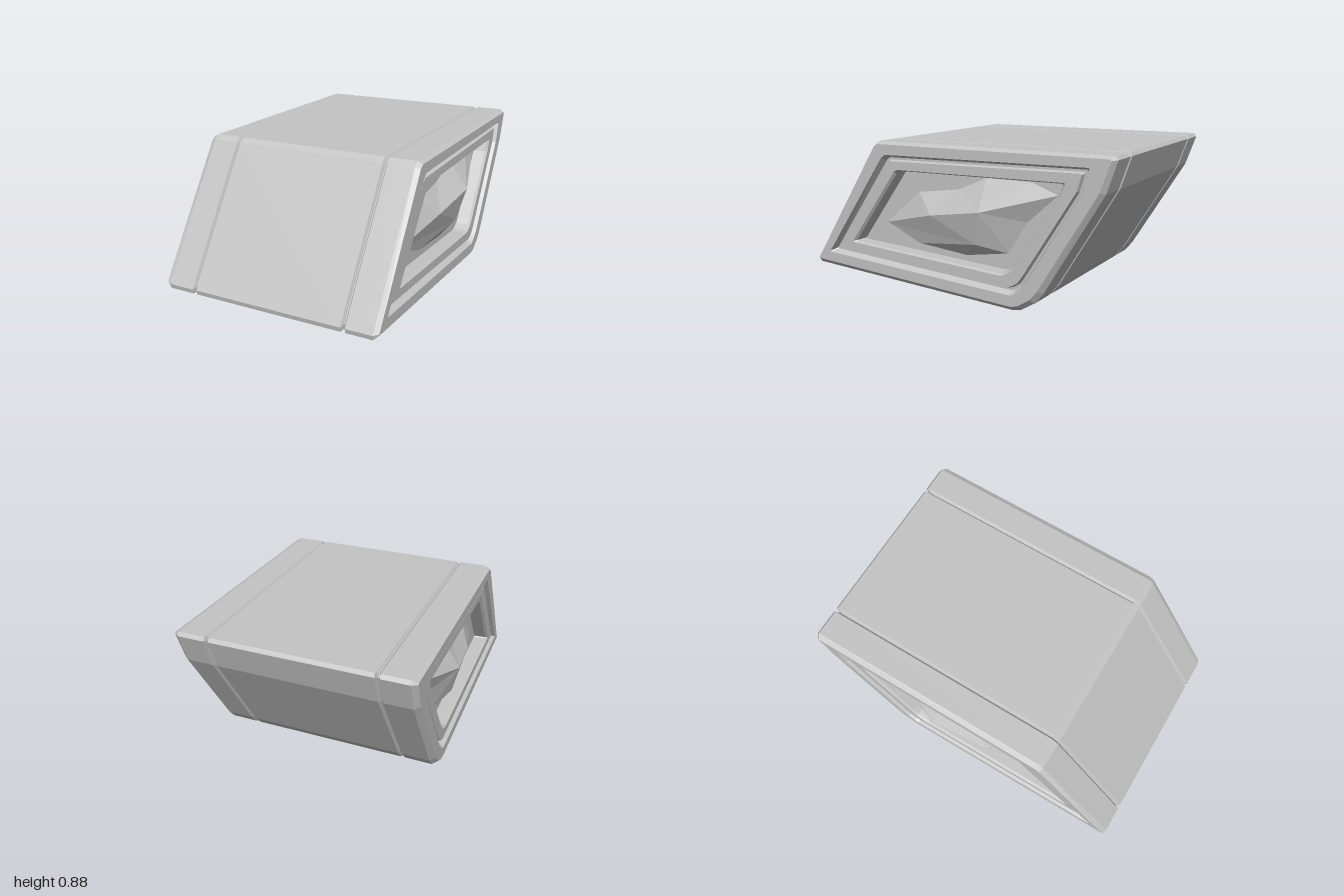
import * as THREE from 'three';

// Cross-sections as [z, y], running front tip -> underside -> back -> top
const OUTER = [[1, 0.103], [0.995, 0.077], [-0.41, 0.003], [-0.465, 0.013], [-0.55, 0.065], [-0.6, 0.125],
  [-0.94, 0.69], [-1, 0.865], [-0.985, 0.885], [0.485, 0.876], [0.518, 0.852]];
const RIM = [[0.988, 0.112], [0.984, 0.106], [-0.41, 0.03], [-0.455, 0.039], [-0.53, 0.087], [-0.575, 0.14],
  [-0.918, 0.7], [-0.976, 0.862], [-0.97, 0.87], [0.482, 0.86], [0.51, 0.84]];
const RECESS = [[0.89, 0.166], [0.885, 0.16], [-0.405, 0.093], [-0.43, 0.1], [-0.475, 0.135], [-0.505, 0.17],
  [-0.825, 0.69], [-0.862, 0.815], [-0.855, 0.821], [0.43, 0.8], [0.455, 0.78]];
const RIDGE = [[0.825, 0.205], [0.82, 0.199], [-0.385, 0.133], [-0.41, 0.14], [-0.45, 0.165], [-0.475, 0.2],
  [-0.787, 0.69], [-0.815, 0.78], [-0.808, 0.786], [0.41, 0.763], [0.432, 0.745]];
const WINDOW = [[0.712, 0.248], [0.705, 0.242], [-0.33, 0.19], [-0.36, 0.194], [-0.41, 0.222], [-0.435, 0.25],
  [-0.7, 0.66], [-0.725, 0.727], [-0.718, 0.732], [0.355, 0.716], [0.378, 0.7]];

const mix = (a, b, t) => a.map((p, i) => [p[0] + (b[i][0] - p[0]) * t, p[1] + (b[i][1] - p[1]) * t]);
// Shrink a section toward its middle by roughly d
const shrink = (ring, d) => mix(ring, ring.map(() => [-0.03, 0.45]), d / 0.45);

// Flat-faced mesh from [x, y, z] points and triangles; side = -1 mirrors it in x
function facets(name, points, tris, material, side = 1) {
  const pos = [];
  for (const [a, b, c] of tris) {
    for (const k of side > 0 ? [a, b, c] : [a, c, b]) pos.push(points[k][0] * side, points[k][1], points[k][2]);
  }
  const geo = new THREE.BufferGeometry();
  geo.setAttribute('position', new THREE.Float32BufferAttribute(pos, 3));
  geo.computeVertexNormals();
  const mesh = new THREE.Mesh(geo, material);
  mesh.name = name;
  return mesh;
}

// Skin over successive sections [x, ring], optionally closed at the last one
function loft(name, stations, material, side = 1, closed = false) {
  const n = OUTER.length, points = [], tris = [];
  for (const [x, ring] of stations) for (const [z, y] of ring) points.push([x, y, z]);
  for (let s = 0; s < stations.length - 1; s++) {
    for (let i = 0; i < n; i++) {
      const a = s * n + i, b = s * n + (i + 1) % n;
      tris.push([a, b, b + n], [a, b + n, a + n]);
    }
  }
  if (closed) {
    const o = (stations.length - 1) * n;
    for (let i = 1; i < n - 1; i++) tris.push([o, o + i, o + i + 1]);
  }
  return facets(name, points, tris, material, side);
}

// Faceted stone: the border sits on the window floor, three points stand proud
const STONE = [[0.53, 0.37], [0.3, 0.27], [-0.06, 0.24], [-0.35, 0.29], [-0.47, 0.48],
  [-0.66, 0.65], [-0.5, 0.71], [-0.2, 0.71], [-0.02, 0.63], [0.27, 0.59]].map(([z, y]) => [0.565, y, z]);
STONE.push([0.65, 0.47, 0.13], [0.688, 0.53, -0.22], [0.64, 0.335, -0.17]);
const STONE_TRIS = [[0, 1, 12], [1, 2, 12], [2, 3, 12], [0, 12, 10], [12, 11, 10], [12, 3, 11], [3, 4, 11],
  [4, 5, 11], [5, 6, 11], [6, 7, 11], [7, 8, 11], [8, 10, 11], [8, 9, 10], [9, 0, 10]];

export function createModel() {
  const model = new THREE.Group();
  model.name = 'slantedBlock';
  const grey = new THREE.MeshStandardMaterial({ color: 0xc4c4c4, flatShading: true });
  grey.name = 'grey';

  // Broad middle section
  model.add(loft('centreShell', [[-0.46, OUTER], [0.46, OUTER]], grey));

  for (const side of [1, -1]) {
    const end = new THREE.Group();
    end.name = side > 0 ? 'leftEnd' : 'rightEnd';
    const seam = shrink(OUTER, 0.012);
    end.add(loft('seamGroove', [[0.46, OUTER], [0.47, seam], [0.476, seam], [0.487, OUTER]], grey, side));
    // End band with bevelled edge and flat rim
    end.add(loft('endBand', [[0.487, OUTER], [0.645, OUTER], [0.675, RIM], [0.675, RECESS]], grey, side));
    // Groove around the raised inner frame
    end.add(loft('frameGroove', [[0.675, RECESS], [0.635, mix(RECESS, RIDGE, 0.45)],
      [0.635, mix(RECESS, RIDGE, 0.8)], [0.66, RIDGE]], grey, side));
    // Inner frame and sunken window
    end.add(loft('windowFrame', [[0.66, RIDGE], [0.66, WINDOW], [0.645, shrink(WINDOW, 0.012)],
      [0.57, shrink(WINDOW, 0.018)]], grey, side, true));
    end.add(facets('facetedStone', STONE, STONE_TRIS, grey, side));
    model.add(end);
  }
  return model;
}
